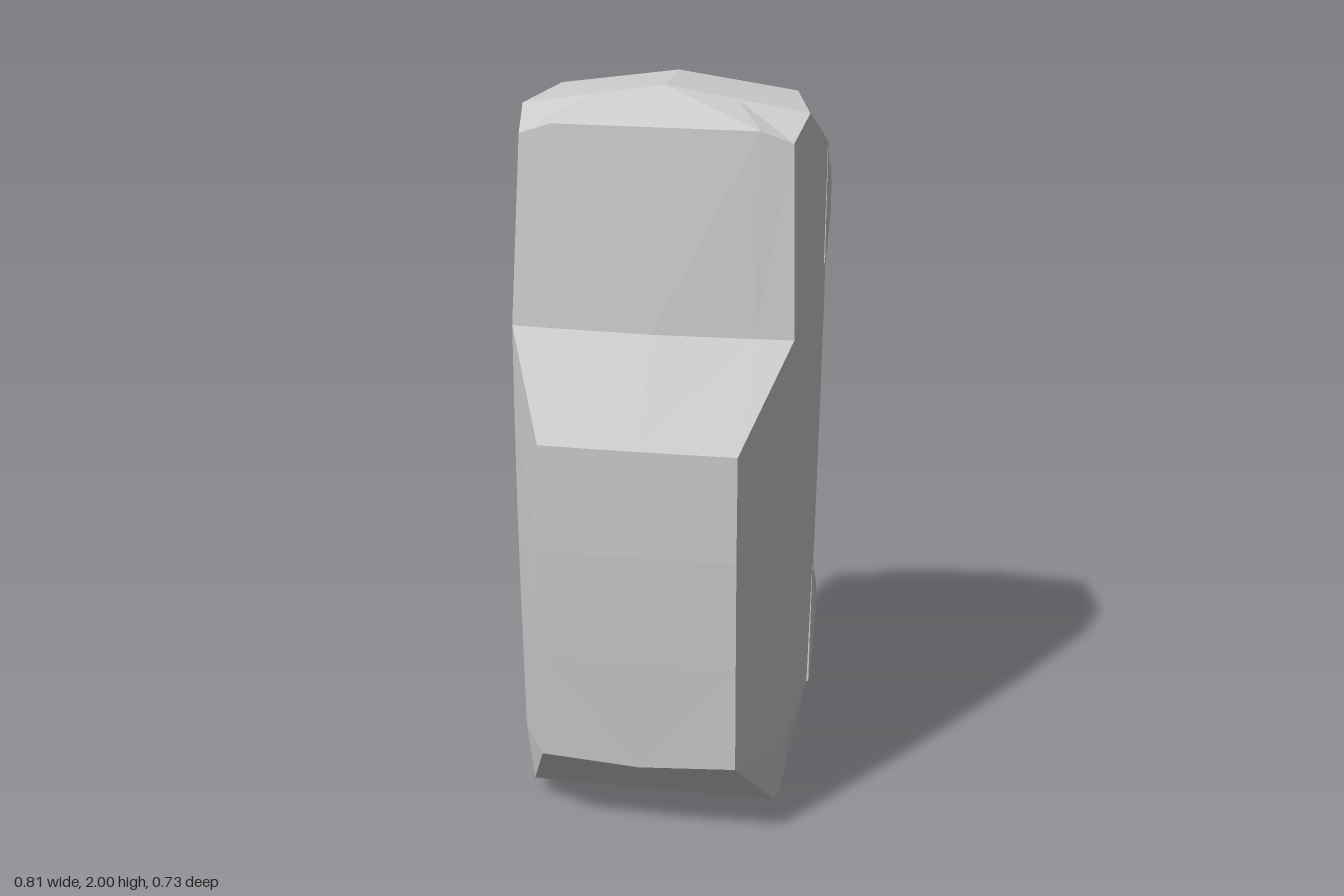
import * as THREE from 'three';

const material = new THREE.MeshStandardMaterial({ color: 0xcccccc, flatShading: true, side: THREE.DoubleSide });

// Half sections from nose (top) to tail (bottom):
// [roof centre, roof edge, belt, sill, floor centre], each [x, y, z].
// flip picks the other diagonal for the strip below the section.
const sections = [
  { flip: true, pts: [[0, 2, -0.05], [0.19, 1.97, -0.05], [0.378, 1.94, -0.05], [0.32, 1.955, -0.262], [0, 2, -0.262]] },
  { pts: [[0, 1.92, 0.098], [0.27, 1.92, 0.098], [0.355, 1.89, 0.092], [0.405, 1.82, -0.263], [0, 1.85, -0.262]] },
  { pts: [[0, 1.39, 0.158], [0.27, 1.39, 0.146], [0.372, 1.39, 0.14], [0.403, 1.39, -0.272], [0, 1.39, -0.263]] },
  { pts: [[0, 1.14, 0.358], [0.26, 1.14, 0.355], [0.372, 1.14, 0.14], [0.4, 1.14, -0.27], [0, 1.14, -0.263]] },
  { pts: [[0, 0.85, 0.365], [0.261, 0.85, 0.361], [0.37, 0.85, 0.14], [0.396, 0.85, -0.267], [0, 0.85, -0.262]] },
  { pts: [[0, 0.55, 0.358], [0.262, 0.55, 0.356], [0.365, 0.55, 0.14], [0.392, 0.55, -0.265], [0, 0.55, -0.258]] },
  { flip: true, pts: [[0, 0.23, 0.345], [0.263, 0.25, 0.35], [0.358, 0.22, 0.14], [0.387, 0.25, -0.217], [0, 0.25, -0.21]] },
  { pts: [[0, 0.05, 0.135], [0.26, 0.05, 0.132], [0.34, 0.05, 0.13], [0.34, 0.028, -0.19], [0, 0.028, -0.19]] },
  { pts: [[0, 0, -0.01], [0.26, 0.004, -0.01], [0.34, 0.006, -0.01], [0.34, 0.028, -0.19], [0, 0.028, -0.19]] },
];

// Mirror a half section into a closed ring
function ring(half) {
  return [...half, ...half.slice(1, -1).reverse().map(([x, y, z]) => [-x, y, z])];
}

function bodyGeometry() {
  const rings = sections.map((s) => ring(s.pts));
  const n = rings[0].length;
  const positions = [];
  const tri = (...corners) => corners.forEach((p) => positions.push(...p));
  for (let i = 0; i < rings.length - 1; i++) {
    for (let j = 0; j < n; j++) {
      const k = (j + 1) % n;
      const a = rings[i][j], b = rings[i][k], c = rings[i + 1][j], d = rings[i + 1][k];
      // mirrored diagonals keep both sides alike
      if ((j < n / 2) !== Boolean(sections[i].flip)) {
        tri(a, c, b);
        tri(b, c, d);
      } else {
        tri(a, c, d);
        tri(a, d, b);
      }
    }
  }
  // nose and tail caps
  const top = rings[0], bottom = rings[rings.length - 1];
  for (let j = 1; j < n - 1; j++) {
    tri(top[0], top[j], top[j + 1]);
    tri(bottom[0], bottom[j + 1], bottom[j]);
  }
  const geometry = new THREE.BufferGeometry();
  geometry.setAttribute('position', new THREE.Float32BufferAttribute(positions, 3));
  geometry.computeVertexNormals();
  return geometry;
}

// Wheel block: side profile of [z, y] points extruded across x
function wheelGeometry(profile, width) {
  const shape = new THREE.Shape(profile.map(([z, y]) => new THREE.Vector2(-z, y)));
  const geometry = new THREE.ExtrudeGeometry(shape, { depth: width, bevelEnabled: false });
  return geometry.rotateY(Math.PI / 2); // profile x -> -z, depth -> +x
}

export function createModel() {
  const model = new THREE.Group();
  model.name = 'car';

  const body = new THREE.Mesh(bodyGeometry(), material);
  body.name = 'body';
  model.add(body);

  const axles = [
    { name: 'frontWheel', outer: 0.405, profile: [[-0.25, 1.81], [-0.363, 1.71], [-0.363, 1.6], [-0.265, 1.49], [-0.25, 1.49]] },
    { name: 'rearWheel', outer: 0.392, profile: [[-0.25, 0.6], [-0.265, 0.595], [-0.363, 0.5], [-0.363, 0.38], [-0.265, 0.28], [-0.215, 0.25]] },
  ];
  for (const { name, outer, profile } of axles) {
    const inner = 0.27;
    // the profile's z is negated twice: once in the shape, once by the turn
    const geometry = wheelGeometry(profile, outer - inner);
    for (const side of [1, -1]) {
      const wheel = new THREE.Mesh(geometry, material);
      wheel.name = name + (side > 0 ? 'Left' : 'Right');
      wheel.position.x = side > 0 ? inner : -outer;
      model.add(wheel);
    }
  }
  return model;
}
